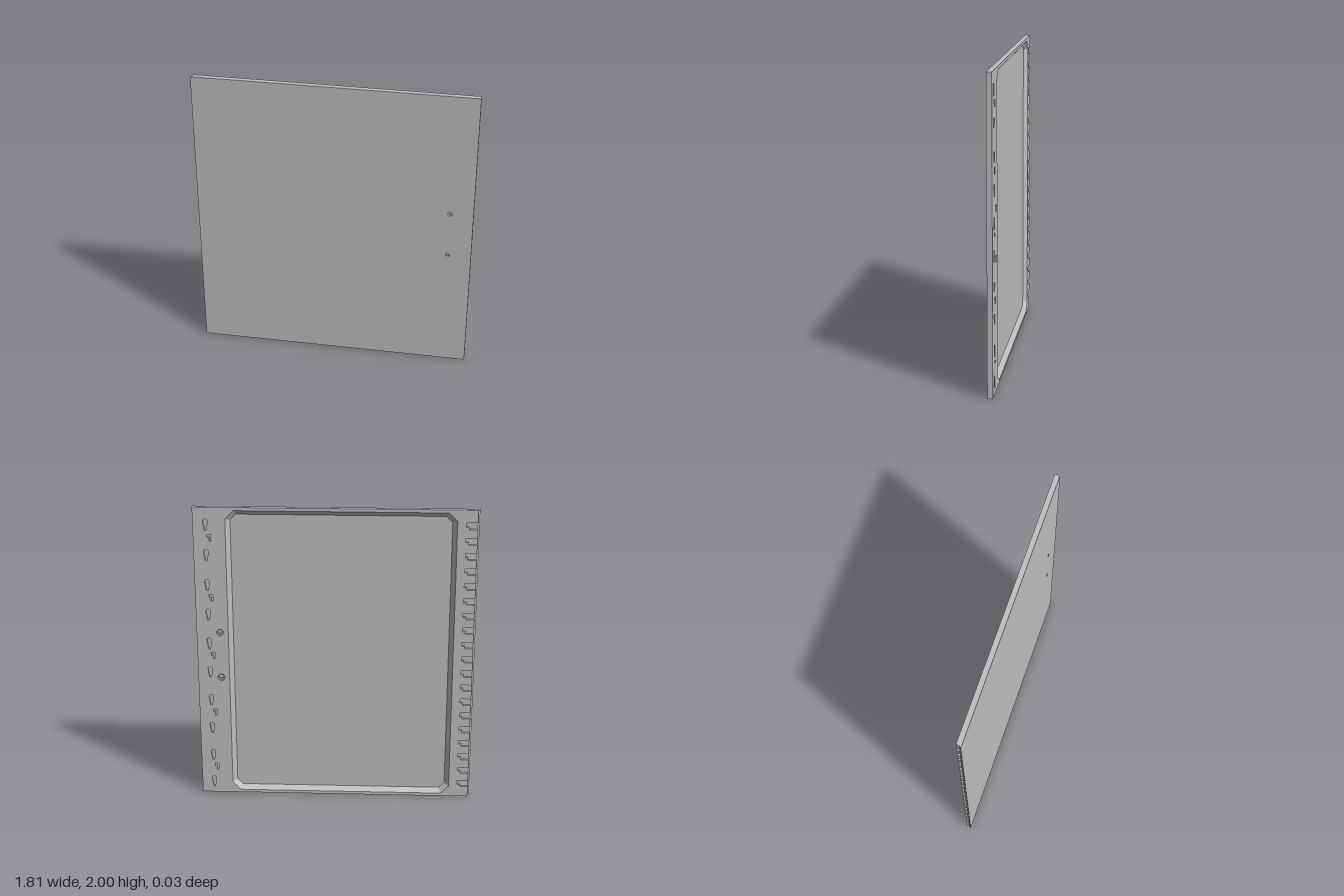
import * as THREE from 'three';

const H = 2, XL = -0.895, XR = 0.907, LIP = -0.907;
const BACK = -0.017, MID = 0, FLOOR = 0.011, FRONT = 0.017;

const grey = new THREE.MeshStandardMaterial({ color: 0xbfbfbf });
grey.name = 'panelGrey';

const vecs = pts => pts.map(([x, y]) => new THREE.Vector2(x, y));

function pathOf(pts) {
  return new THREE.Path(vecs(pts));
}

function circlePath(x, y, r) {
  const p = new THREE.Path();
  p.absarc(x, y, r, 0, Math.PI * 2, true);
  return p;
}

// Rectangle with cut corners, used for the pocket rim and its floor
function cutRect(inset) {
  const x0 = -0.767 + inset, x1 = 0.7 - inset, y0 = 0.02 + inset, y1 = 1.98 - inset;
  const c = 0.055 - inset * (2 - Math.SQRT2);
  return [[x0 + c, y0], [x1 - c, y0], [x1, y0 + c], [x1, y1 - c],
    [x1 - c, y1], [x0 + c, y1], [x0, y1 - c], [x0, y0 + c]];
}

// Round head with a tapering tail below
function keyhole(x, y) {
  const p = new THREE.Path();
  p.moveTo(x - 0.006, y - 0.038);
  p.lineTo(x - 0.015, y + 0.02);
  p.absarc(x, y + 0.022, 0.015, Math.PI, 0, true);
  p.lineTo(x + 0.006, y - 0.038);
  p.closePath();
  return p;
}

// Small hooked slot
function hookSlot(x, y) {
  return pathOf([[x - 0.012, y + 0.024], [x + 0.012, y + 0.024], [x + 0.012, y + 0.002],
    [x - 0.001, y + 0.002], [x - 0.001, y - 0.022], [x - 0.012, y - 0.022]]);
}

// Plain slab outline, or one with hinge notches along the left edge
function outline(notched) {
  const pts = [[XL, 0], [XR, 0], [XR, H], [XL, H]];
  if (notched) {
    for (let k = 19; k >= 1; k--) {
      const y = k * 0.1 - 0.005;
      pts.push([XL, y + 0.022], [-0.822, y + 0.022], [-0.822, y - 0.006],
        [-0.84, y - 0.006], [-0.84, y - 0.022], [XL, y - 0.022]);
    }
  }
  return new THREE.Shape(vecs(pts));
}

function layer(name, shape, z0, z1) {
  const g = new THREE.ExtrudeGeometry(shape, { depth: z1 - z0, bevelEnabled: false, curveSegments: 12 });
  g.translate(0, 0, z0);
  const m = new THREE.Mesh(g, grey);
  m.name = name;
  return m;
}

export function createModel() {
  const group = new THREE.Group();
  group.name = 'doorPanel';
  const bolts = [0.845, 1.16];

  // Front skin with two through holes
  const front = outline(false);
  bolts.forEach(y => front.holes.push(circlePath(0.755, y, 0.014)));
  group.add(layer('frontSkin', front, FLOOR, FRONT));

  // Core around the pocket
  const core = outline(false);
  core.holes.push(pathOf(cutRect(0)));
  bolts.forEach(y => core.holes.push(circlePath(0.755, y, 0.014)));
  group.add(layer('core', core, MID, FLOOR));

  // Rear layer with pocket, counterbores, keyholes, slots and notches
  const rear = outline(true);
  rear.holes.push(pathOf(cutRect(0)));
  bolts.forEach(y => rear.holes.push(circlePath(0.755, y, 0.023)));
  for (let i = 0; i < 10; i++) rear.holes.push(keyhole(0.827, 0.08 + i * 0.2007));
  for (let i = 0; i < 5; i++) rear.holes.push(hookSlot(0.805, 0.192 + i * 0.402));
  group.add(layer('rearFrame', rear, BACK, MID));

  // Sloping pocket walls
  const o = cutRect(0), n = cutRect(0.03), pos = [];
  for (let i = 0; i < 8; i++) {
    const j = (i + 1) % 8;
    const a = [...o[i], BACK], b = [...o[j], BACK], c = [...n[i], FLOOR], d = [...n[j], FLOOR];
    pos.push(...a, ...c, ...b, ...b, ...c, ...d);
  }
  const wallGeo = new THREE.BufferGeometry();
  wallGeo.setAttribute('position', new THREE.Float32BufferAttribute(pos, 3));
  wallGeo.computeVertexNormals();
  const walls = new THREE.Mesh(wallGeo, grey);
  walls.name = 'pocketWalls';
  group.add(walls);

  // Tapered lip along the left front edge
  const lipShape = new THREE.Shape(vecs([[XL, -MID], [LIP, -FRONT + 0.002], [LIP, -FRONT], [XL, -FRONT]]));
  const lipGeo = new THREE.ExtrudeGeometry(lipShape, { depth: H, bevelEnabled: false });
  lipGeo.rotateX(-Math.PI / 2);
  const lip = new THREE.Mesh(lipGeo, grey);
  lip.name = 'edgeLip';
  group.add(lip);

  return group;
}
